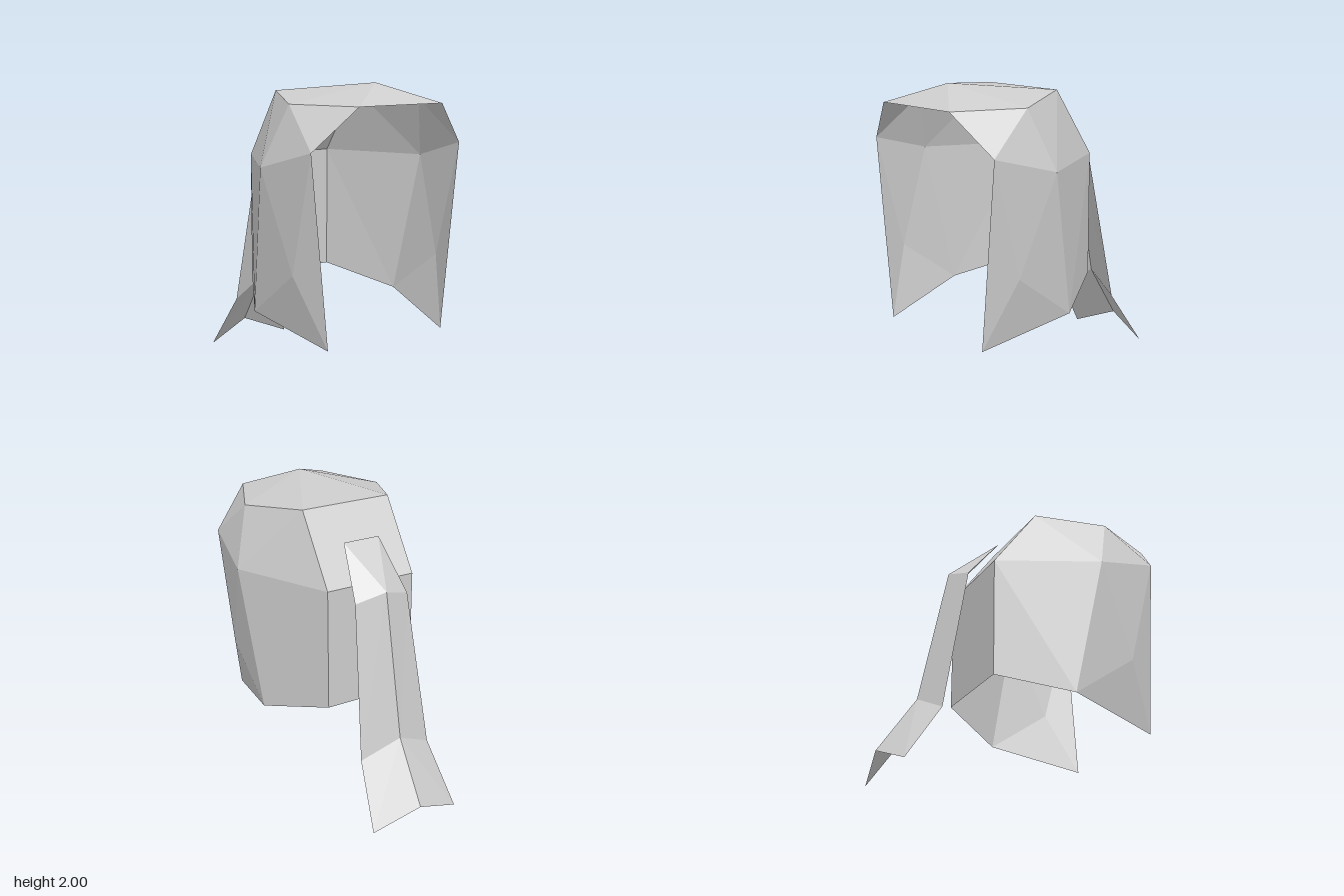
import * as THREE from 'three';

// Builds a flat-faceted, left/right symmetric surface from its +x half.
// points: named corners; half: faces copied to both sides;
// bridge: faces across the middle, where a trailing "_" means the mirrored corner.
function mirroredSurface(points, half, bridge) {
  const pos = [];
  const corner = (name, flip) => {
    const mirrored = name.endsWith('_') !== flip;
    const [x, y, z] = points[name.replace('_', '')];
    return [mirrored ? -x : x, y, z];
  };
  const addFace = (face, flip) => {
    const c = face.split(' ').map((n) => corner(n, flip));
    if (flip) c.reverse();
    for (let i = 1; i < c.length - 1; i++) pos.push(...c[0], ...c[i], ...c[i + 1]);
  };
  half.forEach((f) => { addFace(f, false); addFace(f, true); });
  bridge.forEach((f) => addFace(f, false));
  const geo = new THREE.BufferGeometry();
  geo.setAttribute('position', new THREE.Float32BufferAttribute(pos, 3));
  geo.computeVertexNormals(); // unshared corners give flat facets
  return geo;
}

export function createModel() {
  const group = new THREE.Group();
  group.name = 'hair';
  const hairGrey = new THREE.MeshStandardMaterial({ color: 0xcccccc, side: THREE.DoubleSide });
  hairGrey.name = 'hairGrey';

  const add = (name, geo) => {
    const mesh = new THREE.Mesh(geo, hairGrey);
    mesh.name = name;
    group.add(mesh);
  };

  // Crown and side locks: an open shell with a cut-out for the face
  const shell = {
    crown: [0, 2, 0.67],
    fringe: [0.32, 1.875, 0.93],
    sideTop: [0.515, 1.875, 0.48],
    backTop: [0.32, 1.935, 0.03],
    temple: [0.58, 1.61, 0.81],
    sideMid: [0.645, 1.485, 0.355],
    backMid: [0.32, 1.485, -0.29],
    cheek: [0.58, 0.84, 0.61],
    lockTip: [0.455, 0.39, 0.81],
    sideLow: [0.58, 0.52, 0.165],
    backLow: [0.32, 0.65, -0.29],
  };
  add('hairCap', mirroredSurface(shell, [
    'crown fringe sideTop',
    'crown sideTop backTop',
    'fringe temple sideTop',
    'sideTop temple sideMid',
    'sideTop sideMid backTop',
    'backTop sideMid backMid',
    'sideMid temple cheek',
    'temple lockTip cheek',
    'cheek lockTip sideLow',
    'sideMid cheek sideLow',
    'sideMid sideLow backMid',
    'backMid sideLow backLow',
  ], [
    'crown fringe_ fringe',
    'crown backTop backTop_',
    'backTop backMid backMid_ backTop_',
    'backMid backLow backLow_ backMid_',
  ]));

  // Ponytail: a ridged strip that widens towards its forked end
  const tail = {
    root: [0.13, 1.74, -0.165],
    ridgeTop: [0, 1.485, -0.48],
    edgeTop: [0.195, 1.42, -0.42],
    ridgeLow: [0, 0.52, -0.675],
    edgeLow: [0.26, 0.39, -0.612],
    ridgeEnd: [0, 0.13, -0.935],
    edgeEnd: [0.32, 0, -0.872],
  };
  add('ponytail', mirroredSurface(tail, [
    'root edgeTop ridgeTop',
    'ridgeTop edgeTop edgeLow ridgeLow',
    'ridgeLow edgeLow edgeEnd',
    'ridgeLow edgeEnd ridgeEnd',
  ], ['root ridgeTop root_']));

  return group;
}
